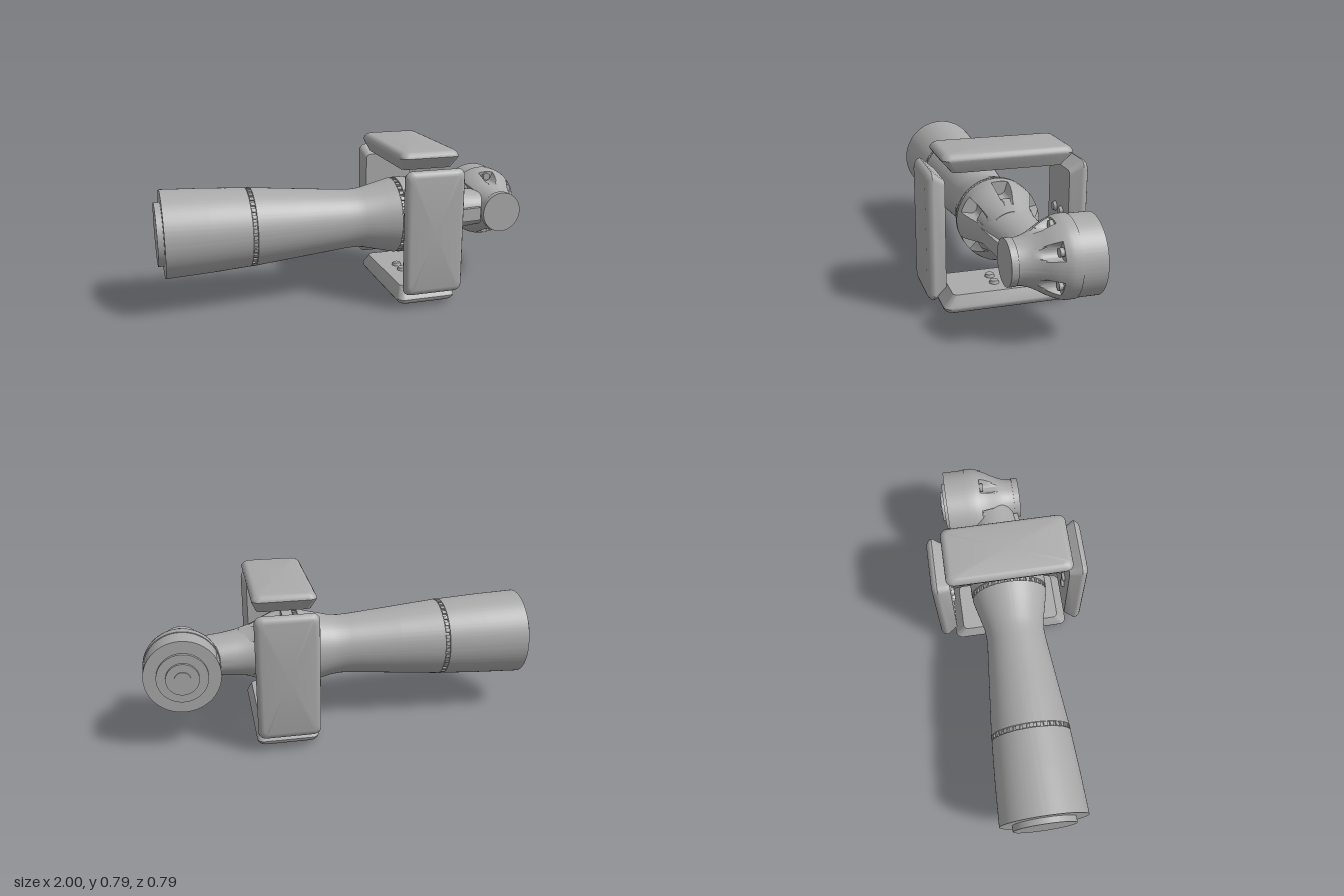
import * as THREE from 'three';
import { toCreasedNormals } from 'three/addons/utils/BufferGeometryUtils.js';

const SEG = 180;
const AXIS_Y = 0.4;

// Skin a list of equal-length cross-sections stacked along +z, with flat end caps
function loft(rings, crease = 0.6) {
  const n = rings[0].length;
  const pos = rings.flat(2);
  const index = [];
  for (let i = 0; i < rings.length - 1; i++) {
    for (let j = 0; j < n; j++) {
      const k = (j + 1) % n;
      const a = i * n + j, b = i * n + k, c = a + n, d = b + n;
      index.push(a, b, d, a, d, c);
    }
  }
  const cap = (ring, base, flip) => {
    const centre = pos.length / 3;
    const sum = ring.reduce((s, p) => [s[0] + p[0] / n, s[1] + p[1] / n], [0, 0]);
    pos.push(sum[0], sum[1], ring[0][2]);
    for (let j = 0; j < n; j++) {
      const a = base + j, b = base + (j + 1) % n;
      index.push(centre, flip ? b : a, flip ? a : b);
    }
  };
  cap(rings[0], 0, true);
  cap(rings[rings.length - 1], (rings.length - 1) * n, false);
  const geo = new THREE.BufferGeometry();
  geo.setAttribute('position', new THREE.Float32BufferAttribute(pos, 3));
  geo.setIndex(index);
  return toCreasedNormals(geo.toNonIndexed(), crease);
}

// Circle, optionally scalloped by six screw pockets parallel to the axis
function circle(z, r, pocket) {
  return Array.from({ length: SEG }, (_, i) => {
    const a = (i / SEG) * Math.PI * 2;
    let rad = r;
    if (pocket) {
      const step = Math.PI / 3;
      const off = a - (Math.floor(a / step) + 0.5) * step;
      const d = pocket.at * Math.sin(off);
      if (Math.abs(d) < pocket.size) {
        rad = Math.min(r, pocket.at * Math.cos(off) - Math.sqrt(pocket.size ** 2 - d * d));
      }
    }
    return [rad * Math.cos(a), rad * Math.sin(a), z];
  });
}

// Turned part: profile is a list of [z, radius]; pockets start at pocket.start
function turned(profile, pocket) {
  const rings = [];
  profile.forEach(([z, r]) => {
    if (pocket && z === pocket.start) rings.push(circle(z, r));
    rings.push(circle(z, r, pocket && z >= pocket.start ? pocket : null));
  });
  return loft(rings);
}

function ellipse(z, hx, hy, cx) {
  return Array.from({ length: 72 }, (_, i) => {
    const a = (i / 72) * Math.PI * 2;
    return [cx + hx * Math.cos(a), hy * Math.sin(a), z];
  });
}

function roundedRect(z, hx, hy, r) {
  const pts = [];
  [[1, 1], [-1, 1], [-1, -1], [1, -1]].forEach(([sx, sy], q) => {
    for (let i = 0; i <= 6; i++) {
      const a = (q + i / 6) * Math.PI / 2;
      pts.push([sx * (hx - r) + r * Math.cos(a), sy * (hy - r) + r * Math.sin(a), z]);
    }
  });
  return pts;
}

export function createModel() {
  const model = new THREE.Group();
  model.name = 'robotArmLink';
  const grey = new THREE.MeshStandardMaterial({ color: 0xaaaaaa });
  grey.name = 'grey';
  const add = (parent, name, geo, x = 0, y = 0, z = 0) => {
    const mesh = new THREE.Mesh(geo, grey);
    mesh.name = name;
    mesh.position.set(x, y, z);
    parent.add(mesh);
    return mesh;
  };

  // Long arm, turned about the x axis (local z runs along world x)
  const arm = new THREE.Group();
  arm.name = 'arm';
  arm.position.y = AXIS_Y;
  arm.rotation.y = Math.PI / 2;
  model.add(arm);
  add(arm, 'armBody', turned([
    [-1, 0.158], [-0.97, 0.158], [-0.97, 0.221], [-0.75, 0.212], [-0.55, 0.2],
    [-0.547, 0.192], [-0.528, 0.192], [-0.525, 0.199], [-0.3, 0.178], [-0.05, 0.155],
    [0, 0.153], [0.05, 0.157], [0.17, 0.186], [0.22, 0.198],
    [0.223, 0.186], [0.242, 0.186], [0.245, 0.2], [0.3, 0.2],
    [0.32, 0.198], [0.35, 0.19], [0.39, 0.172], [0.43, 0.15], [0.47, 0.134], [0.52, 0.12],
  ], { start: 0.3, at: 0.165, size: 0.032 }));

  // Clamp teeth in the two joint grooves
  [[-0.5375, 0.194], [0.2325, 0.191]].forEach(([z, r]) => {
    for (let i = 0; i < 36; i++) {
      const a = (i / 36) * Math.PI * 2;
      const tooth = add(arm, 'clampTooth', new THREE.BoxGeometry(0.012, 0.02, 0.02),
        r * Math.cos(a), r * Math.sin(a), z);
      tooth.rotation.z = a;
    }
  });

  // Neck leading into the wrist (local x is world -z)
  add(arm, 'neck', loft([
    ellipse(0.4, 0.15, 0.145, 0), ellipse(0.47, 0.138, 0.127, 0.002),
    ellipse(0.54, 0.131, 0.115, 0.01), ellipse(0.61, 0.125, 0.106, 0.02),
    ellipse(0.68, 0.12, 0.1, 0.025), ellipse(0.8, 0.1, 0.09, 0.02),
  ]));

  // Flat web along the front of the neck
  const web = add(model, 'neckWeb', new THREE.BoxGeometry(0.29, 0.07, 0.04), 0.55, 0.395, 0.107);
  web.rotation.y = 0.1;

  // Small plugs under the arm base
  [-0.7, -0.84].forEach((x) =>
    add(model, 'basePlug', new THREE.CylinderGeometry(0.014, 0.014, 0.02, 20), x, 0.195, 0.01));

  // Wrist joint, turned about the z axis
  const wrist = new THREE.Group();
  wrist.name = 'wrist';
  wrist.position.set(0.81, AXIS_Y, 0);
  model.add(wrist);
  add(wrist, 'wristHousing', turned([
    [-0.303, 0.04], [-0.298, 0.04], [-0.298, 0.08], [-0.284, 0.08], [-0.284, 0.124],
    [-0.268, 0.124], [-0.268, 0.185], [-0.155, 0.185], [-0.155, 0.189], [-0.12, 0.189],
    [-0.1, 0.185], [-0.08, 0.177], [-0.06, 0.169], [-0.04, 0.159], [-0.02, 0.147],
    [0, 0.135], [0.02, 0.124], [0.04, 0.115], [0.07, 0.106], [0.1, 0.102],
    [0.1, 0.107], [0.133, 0.107],
  ], { start: -0.08, at: 0.16, size: 0.036 }));
  for (let i = 0; i < 6; i++) {
    const a = (i + 0.5) * Math.PI / 3;
    const screw = add(wrist, 'wristScrew', new THREE.CylinderGeometry(0.022, 0.022, 0.02, 6),
      0.152 * Math.cos(a), 0.152 * Math.sin(a), -0.072);
    screw.rotation.x = Math.PI / 2;
  }

  // Four bevelled guard pads around the arm, each with four stud feet inside
  const padGeo = loft([
    roundedRect(0.303, 0.132, 0.268, 0.025), roundedRect(0.308, 0.134, 0.27, 0.027),
    roundedRect(0.355, 0.153, 0.312, 0.035), roundedRect(0.365, 0.155, 0.317, 0.036),
    roundedRect(0.376, 0.152, 0.314, 0.036), roundedRect(0.387, 0.144, 0.304, 0.034),
    roundedRect(0.393, 0.135, 0.294, 0.031), roundedRect(0.395, 0.126, 0.284, 0.028),
  ], 0.5);
  const studGeo = new THREE.CylinderGeometry(0.025, 0.02, 0.016, 24);
  for (let k = 0; k < 4; k++) {
    const guard = new THREE.Group();
    guard.name = ['frontGuard', 'bottomGuard', 'backGuard', 'topGuard'][k];
    guard.position.set(0.315, AXIS_Y, 0);
    guard.rotation.x = (k * Math.PI) / 2;
    model.add(guard);
    add(guard, 'guardPad', padGeo);
    for (const sx of [-1, 1]) {
      for (const sy of [-1, 1]) {
        const stud = add(guard, 'guardStud', studGeo, sx * 0.04, sy * 0.04, 0.296);
        stud.rotation.x = Math.PI / 2;
      }
    }
  }
  return model;
}
